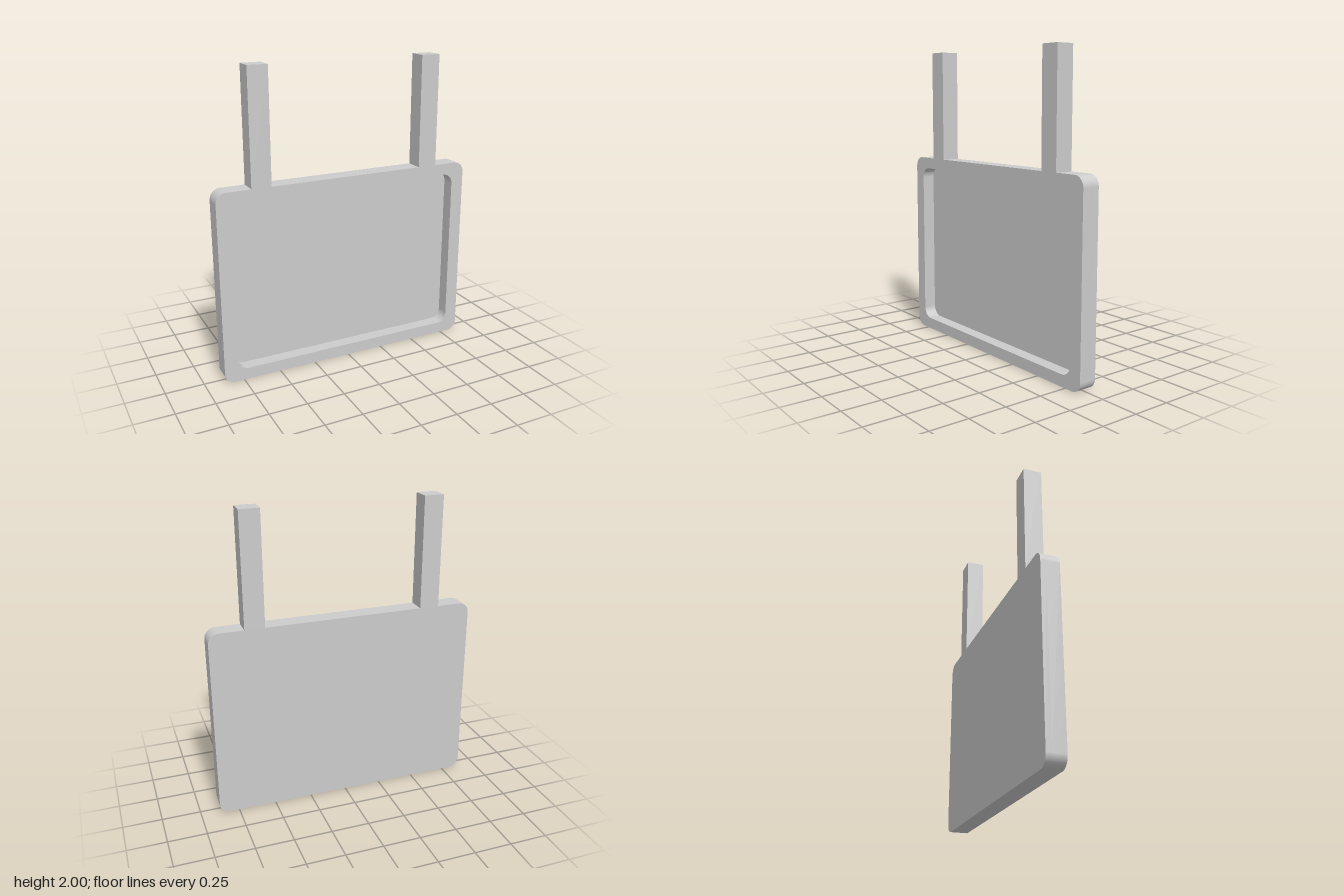
import * as THREE from 'three';
import { toCreasedNormals } from 'three/addons/utils/BufferGeometryUtils.js';

const WIDTH = 1.755, HEIGHT = 1.265, DEPTH = 0.12, CORNER = 0.07;
const RECESS = 0.085; // depth of the front recess
const POST_WIDTH = 0.13, POST_X = 0.587, TOP = 2;

// Rounded rectangle centred on x = 0, from y0 to y1
function roundedRect(path, width, y0, y1, r) {
  const x = width / 2;
  path.moveTo(-x + r, y0);
  path.lineTo(x - r, y0);
  path.absarc(x - r, y0 + r, r, -Math.PI / 2, 0);
  path.lineTo(x, y1 - r);
  path.absarc(x - r, y1 - r, r, 0, Math.PI / 2);
  path.lineTo(-x + r, y1);
  path.absarc(-x + r, y1 - r, r, Math.PI / 2, Math.PI);
  path.lineTo(-x, y0 + r);
  path.absarc(-x + r, y0 + r, r, Math.PI, Math.PI * 1.5);
  return path;
}

export function createModel() {
  const group = new THREE.Group();
  group.name = 'hangingSign';
  const material = new THREE.MeshStandardMaterial({ color: 0xcccccc });

  const add = (name, geometry, x, y, z) => {
    const mesh = new THREE.Mesh(geometry, material);
    mesh.name = name;
    mesh.position.set(x, y, z);
    group.add(mesh);
  };
  const extrude = (shape, depth) => toCreasedNormals(
    new THREE.ExtrudeGeometry(shape, { depth, bevelEnabled: false, curveSegments: 10 }), Math.PI / 6);
  const outline = () => roundedRect(new THREE.Shape(), WIDTH, 0, HEIGHT, CORNER);

  // Solid back of the board
  add('backPanel', extrude(outline(), DEPTH - RECESS), 0, 0, -DEPTH / 2);

  // Raised border around the recessed face
  const border = outline();
  border.holes.push(roundedRect(new THREE.Path(), 1.58, 0.077, 1.19, CORNER));
  add('frame', extrude(border, RECESS), 0, 0, DEPTH / 2 - RECESS);

  // Square hanging posts, flush with the board
  const postHeight = TOP - HEIGHT;
  for (const [name, side] of [['leftPost', 1], ['rightPost', -1]]) {
    add(name, new THREE.BoxGeometry(POST_WIDTH, postHeight, DEPTH),
      side * POST_X, HEIGHT + postHeight / 2, 0);
  }
  return group;
}
